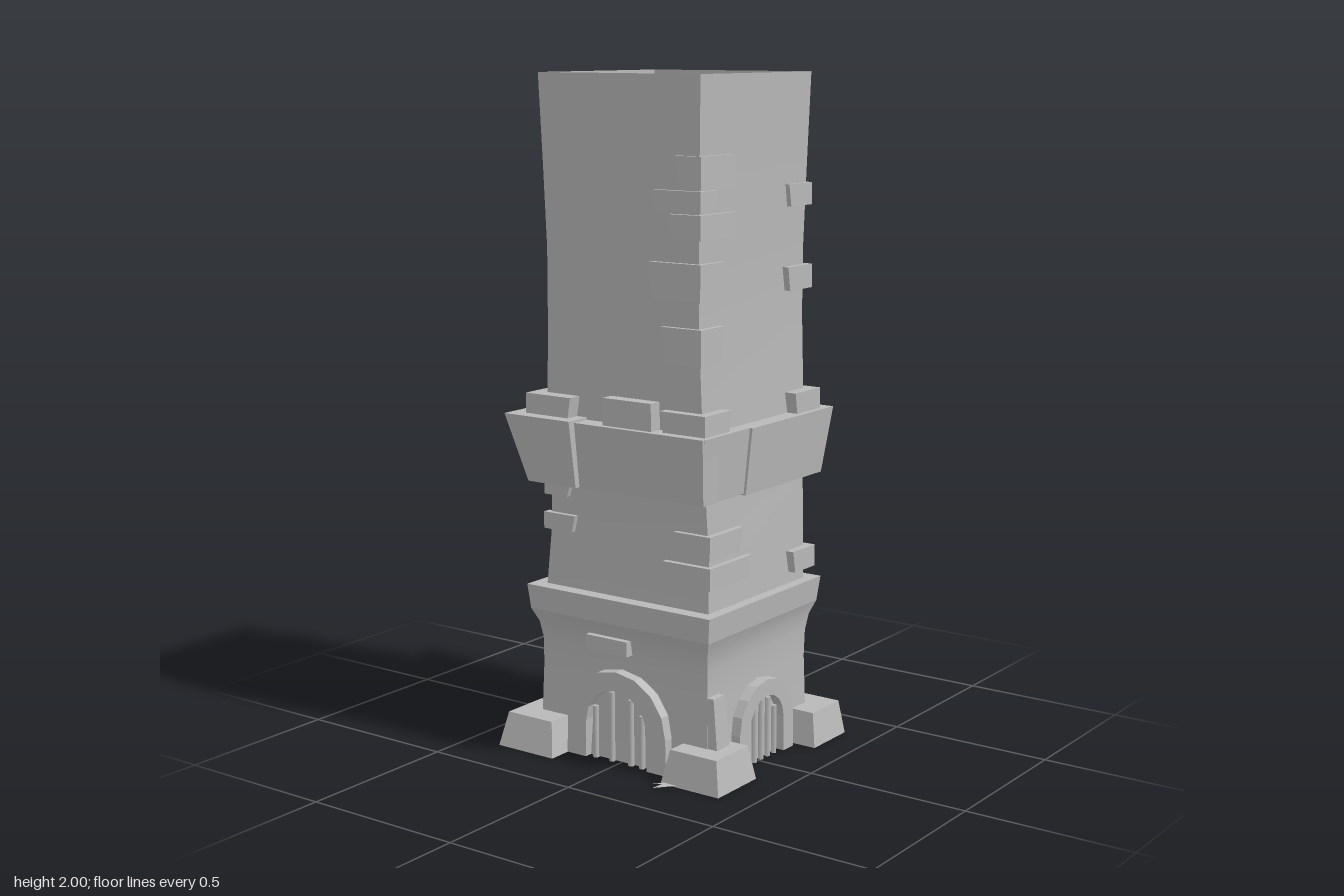
import * as THREE from 'three';

const stone = new THREE.MeshStandardMaterial({ color: 0xb8b8b8, side: THREE.DoubleSide });
stone.name = 'grey stone';

// Wall cross-sections: y, x min, x max, z min, z max
const SHAFT = [
  [0.49, -0.29, 0.295, -0.272, 0.23], [0.65, -0.28, 0.29, -0.275, 0.22],
  [0.82, -0.273, 0.28, -0.285, 0.222], [1.02, -0.28, 0.275, -0.293, 0.232],
  [1.3, -0.272, 0.265, -0.295, 0.236], [1.5, -0.27, 0.265, -0.297, 0.238],
  [1.75, -0.277, 0.272, -0.302, 0.245], [2, -0.285, 0.28, -0.307, 0.253],
];
const BASE = [
  [0, -0.312, 0.305, -0.288, 0.245], [0.1, -0.307, 0.3, -0.282, 0.238],
  [0.25, -0.301, 0.296, -0.278, 0.235], [0.33, -0.301, 0.298, -0.28, 0.237],
  [0.38, -0.308, 0.305, -0.29, 0.247], [0.42, -0.325, 0.32, -0.308, 0.265],
];
const CORNICE = [[0.42, -0.325, 0.32, -0.308, 0.265], [0.495, -0.333, 0.328, -0.317, 0.272]];
const LEDGE = [[0.495, -0.333, 0.328, -0.317, 0.272], [0.4955, -0.285, 0.29, -0.268, 0.225]];

function wallAt(y) {
  let i = 0;
  while (i < SHAFT.length - 2 && SHAFT[i + 1][0] < y) i++;
  const a = SHAFT[i], b = SHAFT[i + 1], t = (y - a[0]) / (b[0] - a[0]);
  return a.map((v, k) => THREE.MathUtils.lerp(v, b[k], t));
}

function add(parent, name, geometry) {
  const mesh = new THREE.Mesh(geometry, stone);
  mesh.name = name;
  parent.add(mesh);
  return mesh;
}

// Four walls through rectangular sections, sharp at the corners
function loft(parent, name, rows) {
  for (let s = 0; s < 4; s++) {
    const g = new THREE.PlaneGeometry(1, 1, 1, rows.length - 1);
    const p = g.attributes.position;
    for (let i = 0; i < p.count; i++) {
      const [y, x0, x1, z0, z1] = rows[rows.length - 1 - Math.floor(i / 2)];
      const corners = [[x0, z1], [x1, z1], [x1, z0], [x0, z0]];
      const c = corners[(s + (i % 2)) % 4];
      p.setXYZ(i, c[0], y, c[1]);
    }
    g.computeVertexNormals();
    add(parent, name, g);
  }
}

// Tapered block from bottom and top rectangles [x0, x1, z0, z1]
function block(parent, name, y0, y1, bottom, top = bottom) {
  const g = new THREE.BoxGeometry(1, 1, 1);
  const p = g.attributes.position;
  for (let i = 0; i < p.count; i++) {
    const up = p.getY(i) > 0, r = up ? top : bottom;
    p.setXYZ(i, r[p.getX(i) > 0 ? 1 : 0], up ? y1 : y0, r[p.getZ(i) > 0 ? 3 : 2]);
  }
  g.computeVertexNormals();
  return add(parent, name, g);
}

// L-shaped corner stone: one arm along x, one along z
function quoin(parent, sx, sz, y0, y1, lenX, lenZ, out = 0.016) {
  const w = wallAt((y0 + y1) / 2);
  const cx = sx > 0 ? w[2] : w[1], cz = sz > 0 ? w[4] : w[3];
  const rect = (a, b, c, d) => [Math.min(a, b), Math.max(a, b), Math.min(c, d), Math.max(c, d)];
  const ox = cx + sx * out, oz = cz + sz * out, ix = cx - sx * 0.01, iz = cz - sz * 0.01;
  const slant = 0.012;
  if (lenX) block(parent, 'cornerStone', y0, y1,
    rect(ox, cx - sx * (lenX - slant), oz, iz), rect(ox, cx - sx * lenX, oz, iz));
  if (lenZ) block(parent, 'cornerStone', y0, y1,
    rect(ox, ix, oz, cz - sz * (lenZ - slant)), rect(ox, ix, oz, cz - sz * lenZ));
}

function archPoints(halfWidth, height, n) {
  const spring = height - halfWidth * 0.95, pts = [[halfWidth, 0]];
  for (let i = 0; i <= n; i++) {
    const a = (i / n) * Math.PI;
    pts.push([Math.cos(a) * halfWidth * 0.98, spring + Math.sin(a) * halfWidth * 0.95]);
  }
  pts.push([-halfWidth, 0]);
  return pts.map(([x, y]) => new THREE.Vector2(x, y));
}

// Arched surround with upright bars, facing +z
function gate(outer, height, inner, innerHeight, barXs) {
  const g = new THREE.Group();
  const pts = [...archPoints(outer, height, 8), ...archPoints(inner, innerHeight, 8).reverse()];
  add(g, 'archSurround', new THREE.ExtrudeGeometry(new THREE.Shape(pts), { depth: 0.06, bevelEnabled: false }));
  for (const x of barXs) {
    const h = innerHeight - 0.1 * (x / inner) ** 2 - 0.005;
    add(g, 'gateBar', new THREE.CylinderGeometry(0.009, 0.009, h, 6)).position.set(x, h / 2, 0.045);
  }
  return g;
}

export function createModel() {
  const tower = new THREE.Group();
  tower.name = 'tower';

  // Hollow walls, open at both ends
  loft(tower, 'baseWall', BASE);
  loft(tower, 'cornice', CORNICE);
  loft(tower, 'corniceLedge', LEDGE);
  loft(tower, 'shaftWall', SHAFT);

  // Gates on the front and the left-hand side
  const front = gate(0.182, 0.28, 0.112, 0.222, [-0.085, -0.025, 0.045, 0.085]);
  front.name = 'frontGate';
  front.position.set(-0.005, 0, 0.21);
  const side = gate(0.145, 0.245, 0.092, 0.195, [-0.045, -0.01, 0.025, 0.06]);
  side.name = 'sideGate';
  side.rotation.y = Math.PI / 2;
  side.position.set(0.27, 0, -0.025);
  tower.add(front, side);

  // Foot blocks
  block(tower, 'footBlock', 0, 0.1, [-0.39, -0.185, 0.155, 0.345], [-0.375, -0.21, 0.16, 0.315]);
  block(tower, 'footBlock', 0, 0.1, [0.195, 0.395, 0.13, 0.322], [0.215, 0.375, 0.145, 0.303]);
  block(tower, 'footBlock', 0, 0.1, [-0.395, -0.2, -0.362, -0.187], [-0.375, -0.22, -0.355, -0.207]);
  block(tower, 'footBlock', 0, 0.1, [0.2, 0.395, -0.362, -0.187], [0.22, 0.375, -0.355, -0.207]);

  // Thin shard at the front foot
  const shard = new THREE.Shape([[0.18, -0.345], [0.22, -0.31], [0.255, -0.315], [0.205, -0.375], [0.208, -0.335]]
    .map(([x, y]) => new THREE.Vector2(x, y)));
  add(tower, 'groundShard', new THREE.ShapeGeometry(shard)).rotation.x = -Math.PI / 2;
  tower.children[tower.children.length - 1].position.y = 0.005;

  // Flared belt of large slabs
  const B = 0.815, T = 1.008;
  block(tower, 'beltSlab', B, T, [-0.135, 0.305, 0.2, 0.27], [-0.135, 0.318, 0.21, 0.293]);
  block(tower, 'beltSlab', B, T + 0.007, [-0.31, -0.133, 0.2, 0.288], [-0.373, -0.133, 0.21, 0.318]);
  block(tower, 'beltSlab', B, T, [-0.14, 0.3, -0.32, -0.27], [-0.14, 0.3, -0.353, -0.28]);
  block(tower, 'beltSlab', B, T + 0.007, [-0.315, -0.138, -0.345, -0.26], [-0.371, -0.138, -0.38, -0.27]);
  block(tower, 'beltSlab', B, T, [-0.295, -0.255, -0.29, 0.24], [-0.333, -0.265, -0.3, 0.24]);
  block(tower, 'beltSlab', B - 0.005, T, [0.25, 0.307, -0.345, 0.062], [0.26, 0.329, -0.375, 0.062]);
  block(tower, 'beltSlab', B, T, [0.25, 0.3, 0.06, 0.265], [0.26, 0.32, 0.06, 0.285]);

  // Corner stones: y from, y to, length along x, length along z
  const upper = [
    [1.69, 1.78, 0.07, 0.155], [1.625, 1.685, 0.15, 0.065], [1.55, 1.62, 0.095, 0.16],
    [1.38, 1.485, 0.16, 0.105], [1.2, 1.305, 0.12, 0.1],
  ];
  for (const [y0, y1, lx, lz] of upper) {
    quoin(tower, 1, 1, y0, y1, lx, lz);
    if (y0 !== 1.55) quoin(tower, -1, -1, y0, y1, lz, lx);
  }
  quoin(tower, 1, 1, 1.0, 1.068, 0.125, 0.1, 0.03);
  quoin(tower, 1, 1, 0.65, 0.72, 0.11, 0.15);
  quoin(tower, 1, 1, 0.565, 0.63, 0.15, 0.195);
  for (const [y0, y1, lx, lz, out] of [
    [1.615, 1.68, 0.15, 0.11, 0.014], [1.37, 1.44, 0.16, 0.11, 0.02],
    [1.0, 1.07, 0.15, 0.1, 0.036], [0.53, 0.595, 0.16, 0.095, 0.025],
  ]) quoin(tower, 1, -1, y0, y1, lx, lz, out);
  quoin(tower, -1, 1, 1.0, 1.075, 0.12, 0.1, 0.045);
  quoin(tower, -1, 1, 0.77, 0.81, 0.08, 0);
  quoin(tower, -1, 1, 0.665, 0.715, 0.1, 0);

  // Single face bricks
  block(tower, 'faceBrick', 1.0, 1.088, [-0.043, 0.128, 0.22, 0.275]);
  block(tower, 'faceBrick', 0.33, 0.375, [-0.118, 0.032, 0.22, 0.265]);
  block(tower, 'faceBrick', 0.1, 0.25, [0.28, 0.33, 0.17, 0.235], [0.28, 0.318, 0.18, 0.235]);
  return tower;
}
